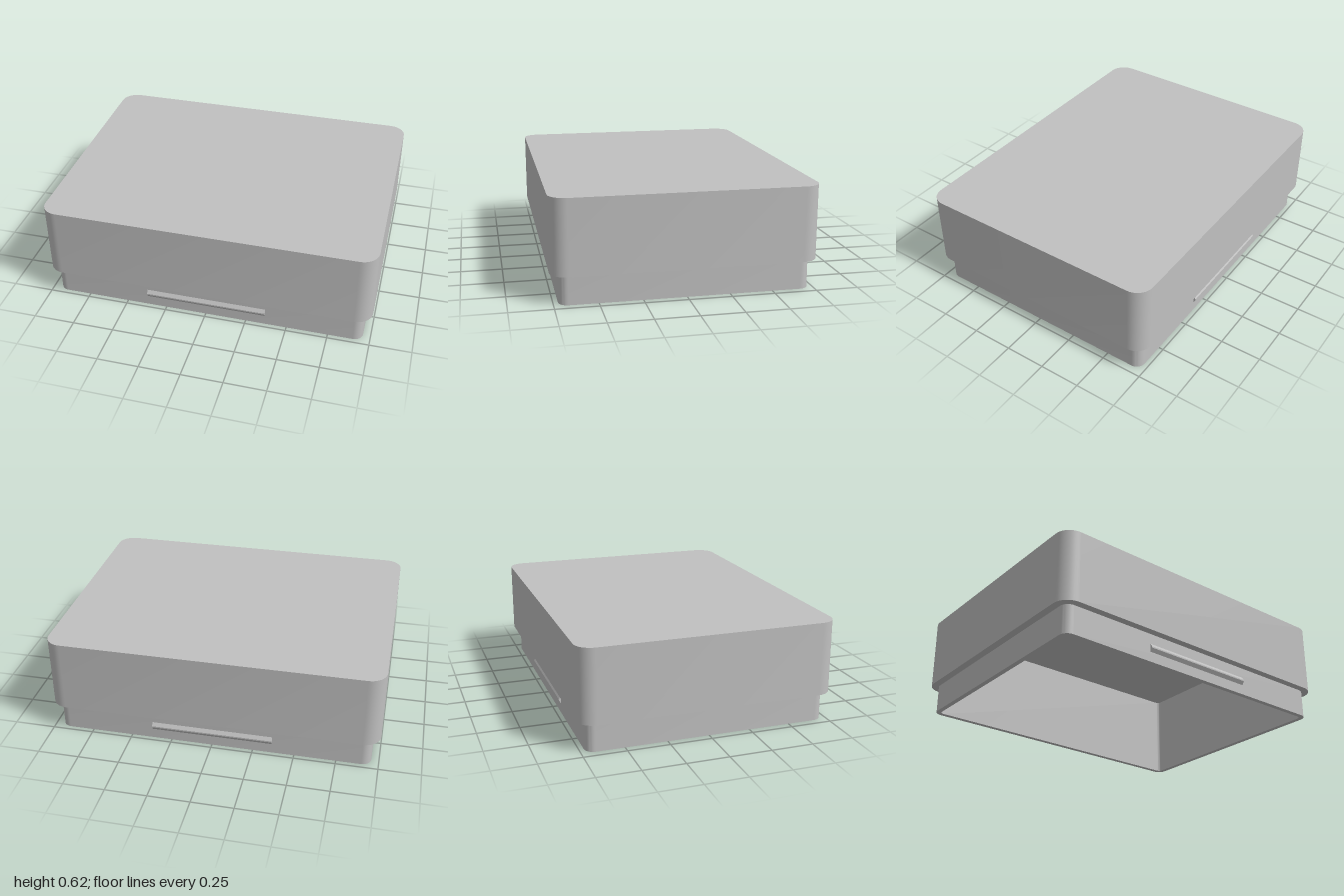
import * as THREE from 'three';
import { toCreasedNormals } from 'three/addons/utils/BufferGeometryUtils.js';

const HALF_X = 1, HALF_Z = 0.767, RADIUS = 0.1, CORNER_STEPS = 10;
const TOP = 0.615, STEP_Y = 0.175, CEILING = 0.555;
const LIP_INSET = 0.045, CAVITY_INSET = 0.075;

// Rounded rectangle offset inwards from the outer outline; a null inset collapses it to the centre
function outline(inset, y) {
  const points = [];
  const r = RADIUS - (inset ?? 0);
  for (let corner = 0; corner < 4; corner++) {
    const sx = corner === 0 || corner === 3 ? 1 : -1;
    const sz = corner < 2 ? 1 : -1;
    for (let k = 0; k <= CORNER_STEPS; k++) {
      const a = (corner + k / CORNER_STEPS) * Math.PI / 2;
      if (inset === null) points.push(0, y, 0);
      else points.push(sx * (HALF_X - RADIUS) + r * Math.cos(a), y, sz * (HALF_Z - RADIUS) + r * Math.sin(a));
    }
  }
  return points;
}

// Surface swept through a list of [inset, height] outlines
function loft(profile) {
  const n = 4 * (CORNER_STEPS + 1);
  const index = [];
  for (let row = 0; row < profile.length - 1; row++) {
    for (let i = 0; i < n; i++) {
      const j = (i + 1) % n;
      const a = row * n + i, b = a + n, c = row * n + j, d = c + n;
      if (profile[row][0] !== null) index.push(a, b, c);
      if (profile[row + 1][0] !== null) index.push(b, d, c);
    }
  }
  const geometry = new THREE.BufferGeometry();
  geometry.setAttribute('position', new THREE.Float32BufferAttribute(profile.flatMap(([inset, y]) => outline(inset, y)), 3));
  geometry.setIndex(index);
  return toCreasedNormals(geometry, 0.6);
}

export function createModel() {
  const model = new THREE.Group();
  model.name = 'boxLid';
  const grey = new THREE.MeshStandardMaterial({ color: 0xc0c0c0 });
  grey.name = 'grey plastic';

  function add(name, geometry) {
    const mesh = new THREE.Mesh(geometry, grey);
    mesh.name = name;
    model.add(mesh);
    return mesh;
  }

  // Outer cap: step underside, side walls and flat top
  add('cap', loft([[LIP_INSET, STEP_Y], [0, STEP_Y], [0, TOP], [null, TOP]]));

  // Inset lip with the hollow inside
  add('lip', loft([[null, CEILING], [CAVITY_INSET, CEILING], [CAVITY_INSET, 0], [LIP_INSET, 0], [LIP_INSET, STEP_Y]]));

  // Snap ridges on the front and back of the lip
  const lipZ = HALF_Z - LIP_INSET, length = 0.735;
  const section = new THREE.Shape([
    [-0.01, 0.062], [0, 0.062], [0.014, 0.083], [0.014, 0.091], [0, 0.112], [-0.01, 0.112],
  ].map(([x, y]) => new THREE.Vector2(x, y)));
  for (const side of [1, -1]) {
    const geometry = new THREE.ExtrudeGeometry(section, { depth: length, bevelEnabled: false });
    geometry.translate(0, 0, -length / 2);
    geometry.rotateY(-side * Math.PI / 2);
    const ridge = add(side > 0 ? 'frontSnapRidge' : 'backSnapRidge', geometry);
    ridge.position.z = side * lipZ;
  }
  return model;
}
